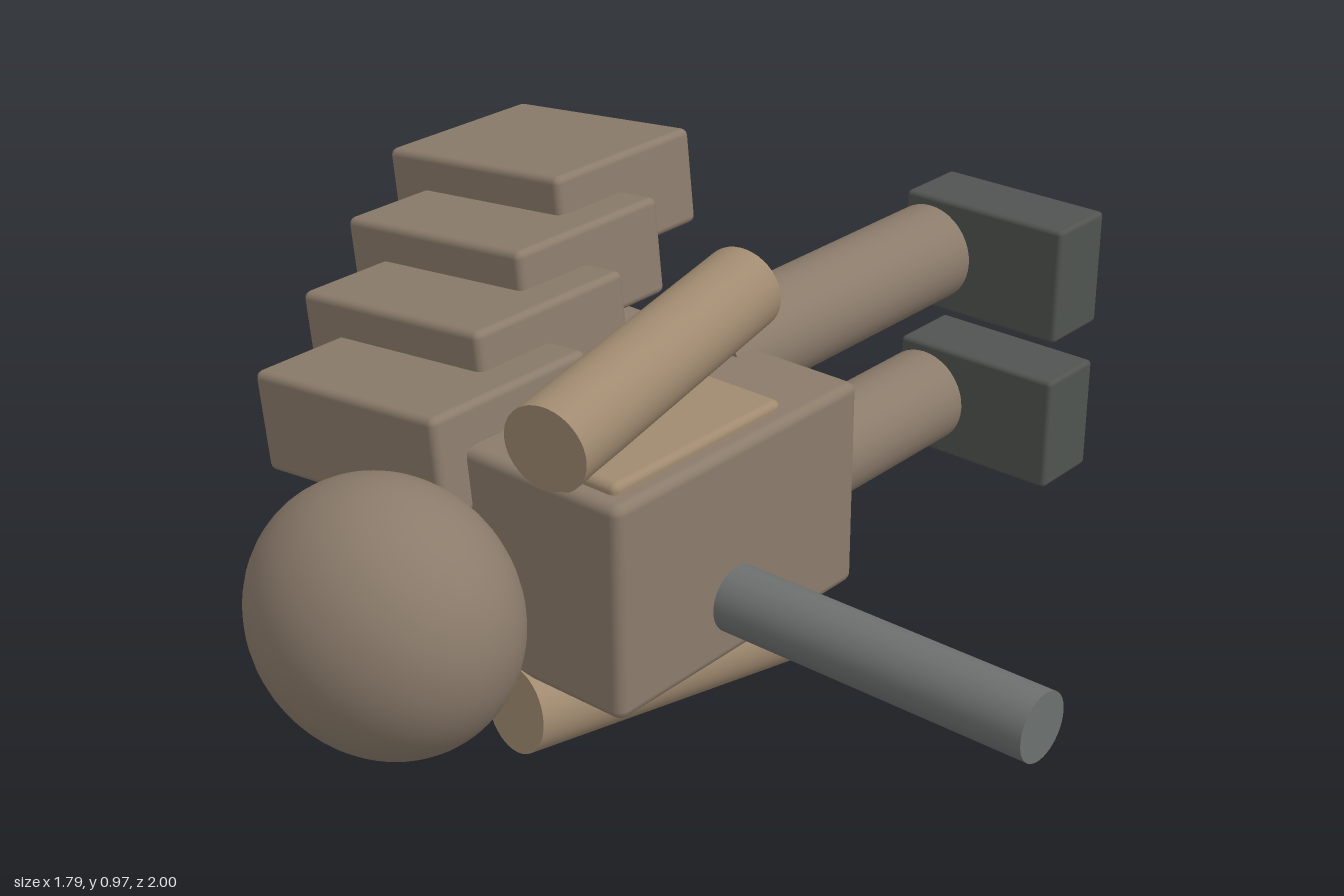
import * as THREE from 'three';
import { RoundedBoxGeometry } from 'three/addons/geometries/RoundedBoxGeometry.js';

const mat = (color) => new THREE.MeshStandardMaterial({ color });

export function createModel() {
  const model = new THREE.Group();
  const brown = mat(0x8b7b6b), tan = mat(0xa08a70), dark = mat(0x505451), steel = mat(0x6c706e);
  const MID = 0.495; // height of the symmetry plane of the reclining figure

  const add = (name, geometry, material, x, y, z) => {
    const mesh = new THREE.Mesh(geometry, material);
    mesh.name = name;
    mesh.position.set(x, y, z);
    model.add(mesh);
    return mesh;
  };
  const box = (name, material, size, pos, r = 0.015) =>
    add(name, new RoundedBoxGeometry(...size, 2, r), material, ...pos);
  const rod = (name, material, radius, from, to) => {
    const a = new THREE.Vector3(...from), b = new THREE.Vector3(...to);
    const dir = b.clone().sub(a);
    const mesh = add(name, new THREE.CylinderGeometry(radius, radius, dir.length(), 40), material, 0, 0, 0);
    mesh.position.copy(a).add(b).multiplyScalar(0.5);
    mesh.quaternion.setFromUnitVectors(new THREE.Vector3(0, 1, 0), dir.normalize());
    return mesh;
  };

  // Body, side panels and back pack
  box('torso', brown, [0.635, 0.425, 0.67], [-0.0825, MID, 0.19], 0.02);
  box('sidePanels', tan, [0.22, 0.465, 0.45], [0.09, MID, 0.265]);
  box('backPack', brown, [0.13, 0.465, 0.54], [-0.425, MID, 0.19]);

  // Slightly flattened head
  const head = add('head', new THREE.SphereGeometry(1, 48, 32), brown, -0.083, MID, 0.773);
  head.scale.set(0.263, 0.253, 0.223);

  // Rod projecting from the chest
  rod('chestRod', steel, 0.065, [0.1, 0.4, 0.21], [0.895, 0.4, 0.21]);

  // Arms swing in opposite directions
  rod('upperArm', tan, 0.085, [0.08, 0.775, 0.533], [-0.02, 0.837, -0.11]);
  rod('lowerArm', tan, 0.085, [-0.02, 0.213, 0.533], [0.08, 0.15, -0.11]);

  for (const side of [1, -1]) {
    // Legs and feet
    const legY = MID + side * 0.17;
    rod('leg', brown, 0.105, [-0.102, legY, -0.08], [-0.102, legY, -0.93]);
    box('foot', dark, [0.39, 0.25, 0.163], [0.03, legY, -0.919], 0.01);

    // Stepped wing of four overlapping blocks
    for (let i = 0; i < 4; i++) {
      const feather = box('wingBlock', brown, [0.48, 0.2, 0.393],
        [-0.645 + i * 0.095, MID + side * (0.365 - i * 0.066), -0.223 + i * 0.207]);
      feather.rotation.z = side * 0.1;
    }
  }
  return model;
}
